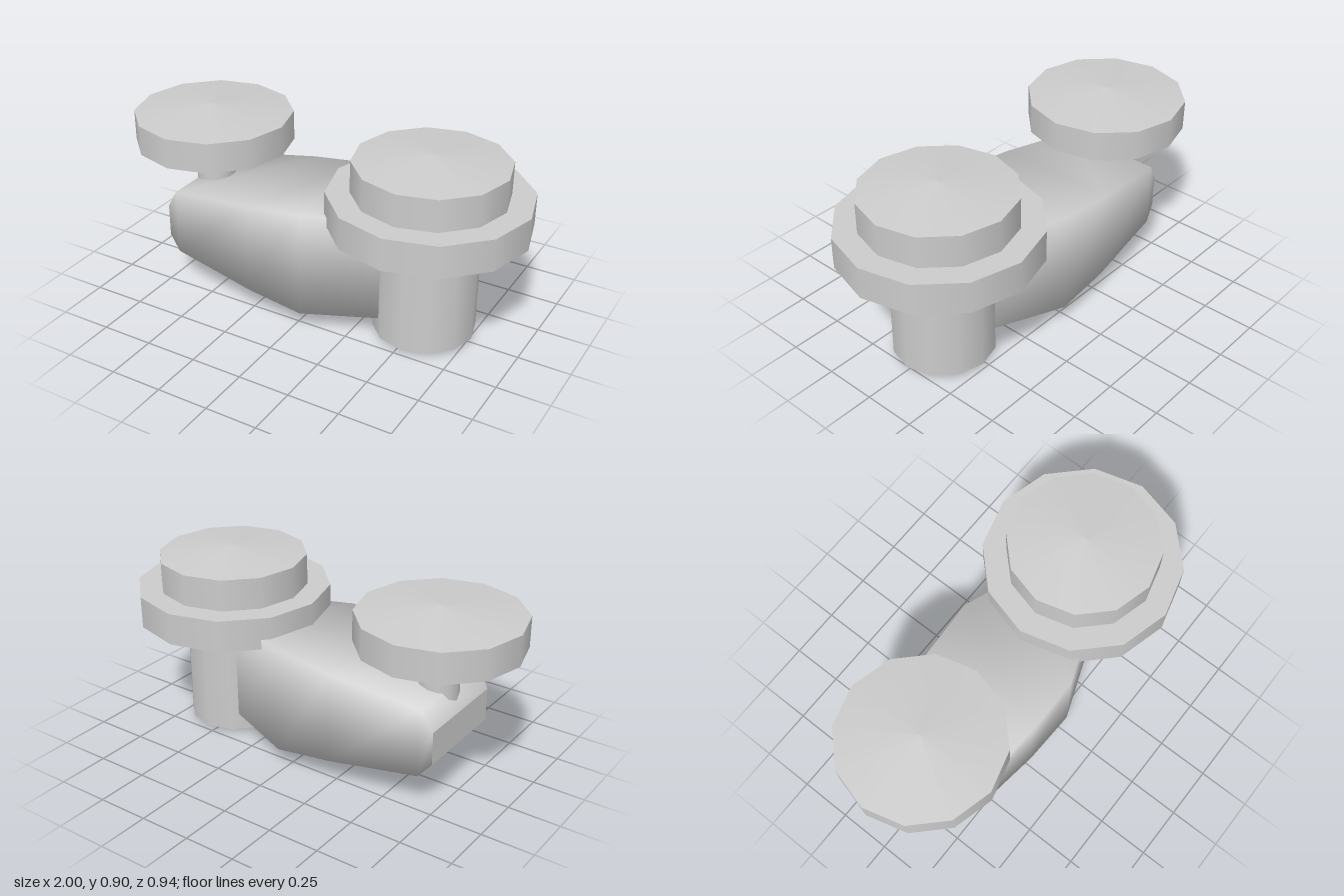
import * as THREE from 'three';

const grey = new THREE.MeshStandardMaterial({ color: 0xcccccc, side: THREE.DoubleSide });

// Twelve-sided drum with shallow conical ends and a sharp rim
function drum(name, x, r, y0, y1, tipLow, tipHigh) {
  const group = new THREE.Group();
  group.name = name;
  group.position.x = x;
  const strip = (rLow, rHigh, low, high) => {
    const g = new THREE.CylinderGeometry(rHigh, rLow, high - low, 12, 1, true);
    g.translate(0, (low + high) / 2, 0);
    const mesh = new THREE.Mesh(g, grey);
    mesh.name = name + 'Surface';
    group.add(mesh);
  };
  strip(r, r, y0, y1);
  strip(0, r, tipLow, y0);
  strip(r, 0, y1, tipHigh);
  return group;
}

// Tapered arm lofted through four-cornered sections: x, bottom, top, half depth
function arm() {
  const sections = [
    [-0.74, 0.25, 0.41, 0.24],
    [-0.68, 0.18, 0.505, 0.255],
    [-0.24, 0.125, 0.57, 0.305],
    [0.04, 0.09, 0.605, 0.31],
    [0.37, 0.105, 0.605, 0.185],
    [0.5, 0.11, 0.6, 0.14],
  ];
  const pos = [], index = [];
  const ring = ([x, lo, hi, z]) => pos.push(x, lo, z, x, hi, z, x, hi, -z, x, lo, -z);
  sections.forEach(ring);
  for (let i = 0; i < sections.length - 1; i++) {
    for (let k = 0; k < 4; k++) {
      const a = i * 4 + k, d = i * 4 + (k + 1) % 4;
      index.push(a, a + 4, d + 4, a, d + 4, d);
    }
  }
  // Both ends have their own corners, so their edges stay sharp
  const n = sections.length * 4;
  ring(sections[0]);
  ring(sections[sections.length - 1]);
  index.push(n, n + 1, n + 2, n, n + 2, n + 3);
  index.push(n + 4, n + 6, n + 5, n + 4, n + 7, n + 6);

  const g = new THREE.BufferGeometry();
  g.setAttribute('position', new THREE.Float32BufferAttribute(pos, 3));
  g.setIndex(index);
  g.computeVertexNormals();
  const mesh = new THREE.Mesh(g, grey);
  mesh.name = 'arm';
  return mesh;
}

export function createModel() {
  const model = new THREE.Group();
  model.name = 'twinDiscArm';
  model.add(
    arm(),
    // Large column with its collar and cap
    drum('column', 0.53, 0.24, 0.022, 0.6, 0.002, 0.6),
    drum('collar', 0.53, 0.467, 0.558, 0.712, 0.558, 0.712),
    drum('columnCap', 0.53, 0.356, 0.71, 0.864, 0.71, 0.902),
    // Small disc on its stem
    drum('stem', -0.62, 0.095, 0.45, 0.71, 0.45, 0.71),
    drum('disc', -0.62, 0.381, 0.7, 0.846, 0.7, 0.884),
  );
  // Slight lean backward
  model.rotation.x = -0.008;
  return model;
}
